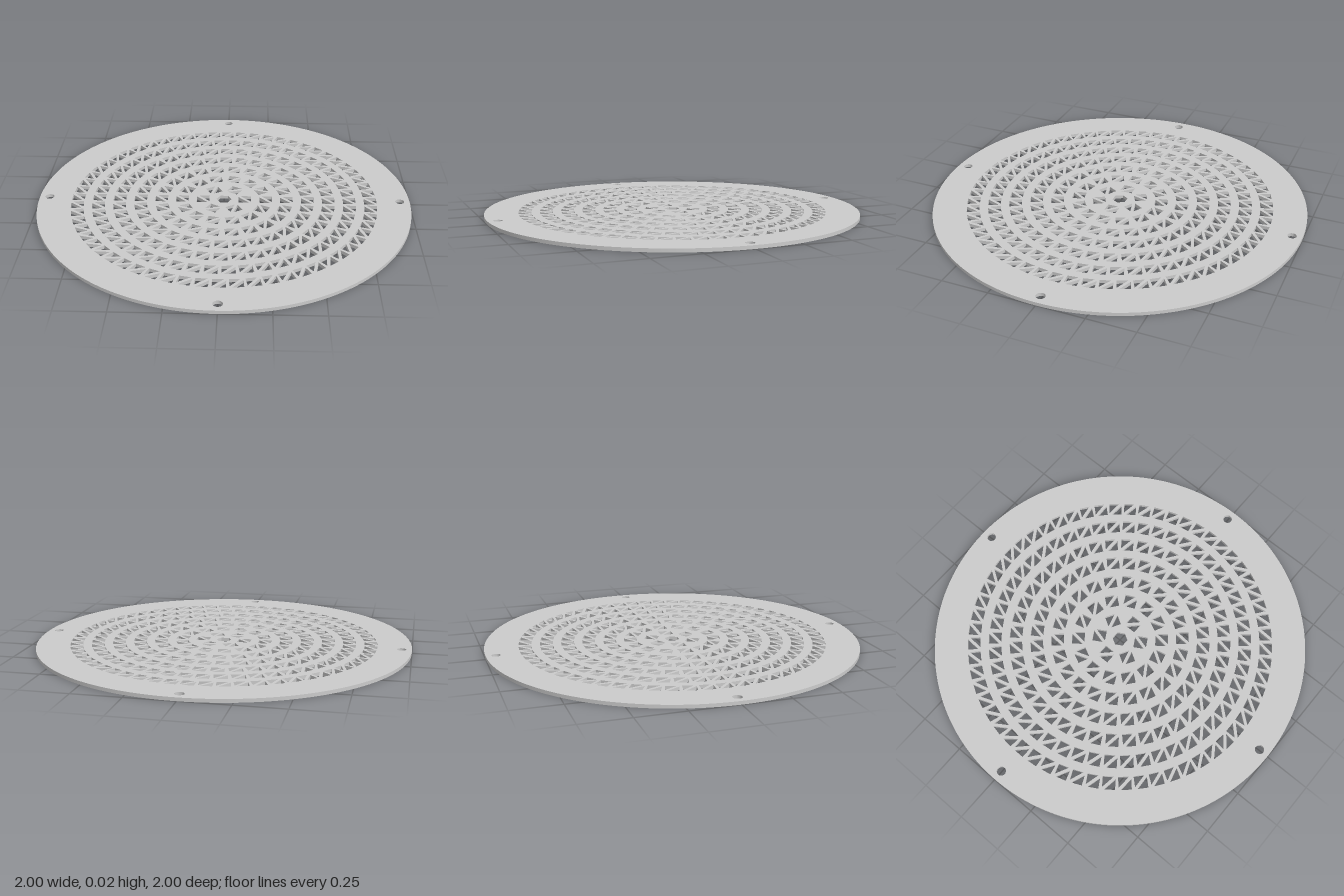
import * as THREE from 'three';
import { toCreasedNormals } from 'three/addons/utils/BufferGeometryUtils.js';

const THICKNESS = 0.018;
const RING_STEP = 0.1125;
const RING_COUNTS = [6, 14, 22, 32, 40, 50, 60];
const HALF = 0.034;      // half side of each square opening
const BAR_INSET = 0.011; // how far the diagonal bar cuts into each side

// Closed hole path from [x, y] points
function holeFrom(points) {
  return new THREE.Path(points.map(([x, y]) => new THREE.Vector2(x, y)));
}

// Regular polygon hole
function polygonHole(cx, cy, radius, sides) {
  const points = [];
  for (let i = 0; i < sides; i++) {
    const a = (i / sides) * Math.PI * 2;
    points.push([cx + radius * Math.cos(a), cy + radius * Math.sin(a)]);
  }
  return holeFrom(points);
}

// Triangular half of a square opening, turned to its place on a ring
function triangleHole(radius, angle, sign) {
  const c = Math.cos(angle), s = Math.sin(angle);
  const local = [[HALF, HALF], [-HALF + BAR_INSET, HALF], [HALF, -HALF + BAR_INSET]];
  return holeFrom(local.map(([u, v]) => {
    const x = radius + sign * u, y = sign * v;
    return [x * c - y * s, x * s + y * c];
  }));
}

export function createModel() {
  const group = new THREE.Group();
  group.name = 'drainCover';

  // Round plate outline
  const plate = new THREE.Shape();
  plate.absarc(0, 0, 1, 0, Math.PI * 2, false);

  // Central opening
  plate.holes.push(polygonHole(0, 0, 0.041, 6));

  // Rings of square openings, each crossed by a diagonal bar
  RING_COUNTS.forEach((count, ring) => {
    const radius = RING_STEP * (ring + 1);
    for (let i = 0; i < count; i++) {
      const angle = (i / count) * Math.PI * 2;
      plate.holes.push(triangleHole(radius, angle, 1), triangleHole(radius, angle, -1));
    }
  });

  // Four screw holes near the rim
  for (let i = 0; i < 4; i++) {
    const a = (i * Math.PI) / 2;
    plate.holes.push(polygonHole(0.947 * Math.cos(a), 0.947 * Math.sin(a), 0.024, 24));
  }

  // Perforated disc, laid flat
  const extruded = new THREE.ExtrudeGeometry(plate, {
    depth: THICKNESS, bevelEnabled: false, curveSegments: 128,
  });
  extruded.rotateX(-Math.PI / 2);
  const disc = new THREE.Mesh(
    toCreasedNormals(extruded, 0.5),
    new THREE.MeshStandardMaterial({ color: 0xcccccc }),
  );
  disc.name = 'perforatedPlate';
  group.add(disc);
  return group;
}
